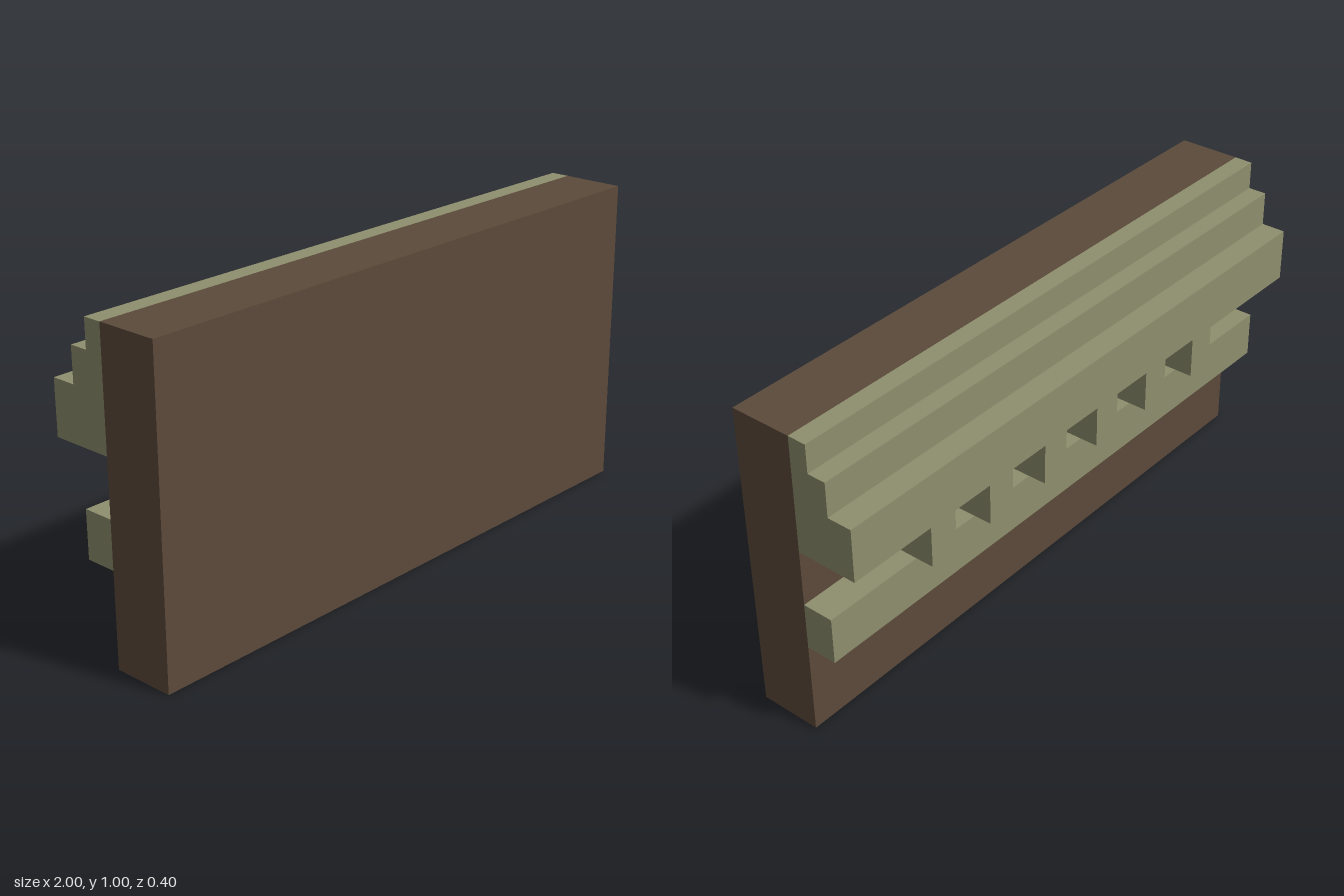
import * as THREE from 'three';

export function createModel() {
  const group = new THREE.Group();
  const wood = new THREE.MeshStandardMaterial({ name: 'brown wall', color: 0x5c4a3a });
  const stone = new THREE.MeshStandardMaterial({ name: 'sage moulding', color: 0x8f8f6e });

  // Box given by its centre x, width and its y and z ranges
  function block(name, material, x, width, y0, y1, z0, z1) {
    const mesh = new THREE.Mesh(new THREE.BoxGeometry(width, y1 - y0, z1 - z0), material);
    mesh.position.set(x, (y0 + y1) / 2, (z0 + z1) / 2);
    mesh.name = name;
    group.add(mesh);
  }

  // Wall slab
  block('wall', wood, 0, 2, 0, 1, 0, 0.2);

  // Stepped cornice: profile of (depth behind the wall, height) swept along x
  const profile = [[0, 0.63], [0.2, 0.63], [0.2, 0.8], [0.12, 0.8], [0.12, 0.91], [0.06, 0.91], [0.06, 1], [0, 1]];
  const shape = new THREE.Shape(profile.map(([d, y]) => new THREE.Vector2(d, y)));
  const geometry = new THREE.ExtrudeGeometry(shape, { depth: 2, bevelEnabled: false });
  geometry.translate(0, 0, -1);
  geometry.rotateY(Math.PI / 2);
  const cornice = new THREE.Mesh(geometry, stone);
  cornice.name = 'cornice';
  group.add(cornice);

  // Row of dentils under the cornice
  const count = 6;
  const spacing = 0.246;
  for (let i = 0; i < count; i++) {
    block('dentil' + (i + 1), stone, (i - (count - 1) / 2) * spacing, 0.1, 0.45, 0.63, -0.16, 0);
  }

  // Lower band carrying the dentils
  block('lowerBand', stone, 0, 2, 0.3, 0.45, -0.1, 0);

  return group;
}
